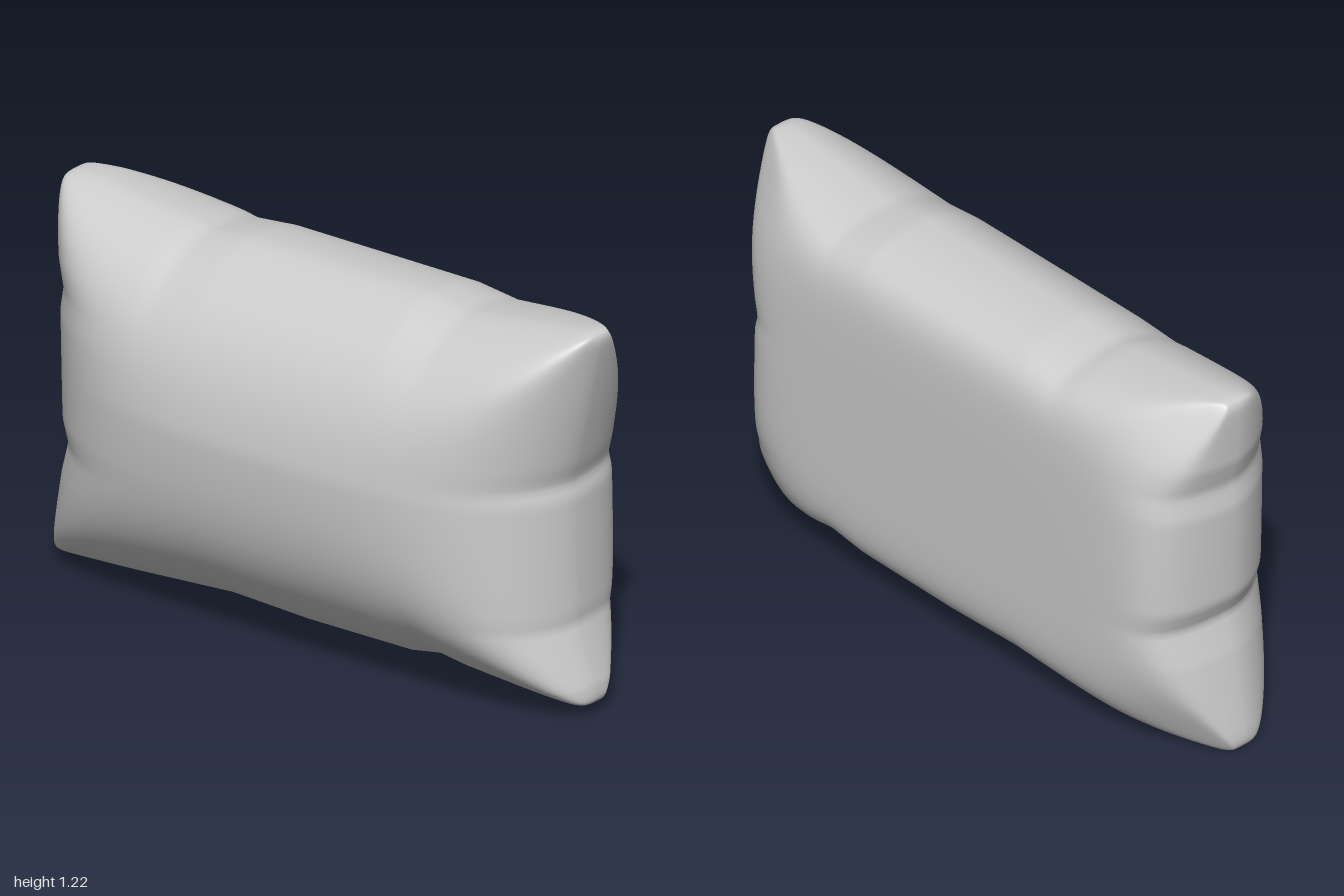
import * as THREE from 'three';
import { mergeVertices, mergeGeometries } from 'three/addons/utils/BufferGeometryUtils.js';

// Seam outline as [position along edge, offset]; the kinks are the gathered tucks
const topEdge = [[-1, 1.222], [-0.9, 1.216], [-0.55, 1.175], [-0.48, 1.16], [-0.32, 1.18], [0.4, 1.187], [0.55, 1.166], [0.66, 1.18], [1, 1.228]];
const bottomEdge = [[-1, -0.006], [-0.7, 0.015], [-0.3, 0.05], [0, 0.04], [0.4, 0.048], [0.54, 0.076], [0.64, 0.056], [1, 0.026]];
const frontEdge = [[0, 0.99], [0.06, 0.98], [0.25, 0.918], [0.3, 0.92], [0.68, 0.91], [0.73, 0.895], [0.8, 0.915], [1.22, 1.008]];
const backEdge = [[0, -1.008], [0.05, -1], [0.3, -0.95], [0.42, -0.915], [0.5, -0.945], [0.85, -0.955], [0.93, -0.94], [1.02, -0.965], [1.22, -0.98]];

function sample(table, t) {
  for (let i = 1; i < table.length; i++) {
    const [a, va] = table[i - 1], [b, vb] = table[i];
    if (t <= b) return THREE.MathUtils.lerp(va, vb, THREE.MathUtils.clamp((t - a) / (b - a), 0, 1));
  }
  return table[table.length - 1][1];
}

const dome = (t, p, q) => Math.pow(Math.max(0, 1 - Math.pow(Math.abs(t), p)), q);

// Smooth minimum of positive values, scaled so that two ones give one
const softMin = (...values) => Math.pow(values.reduce((sum, x) => sum + x ** -6, 0) / 2, -1 / 6);

// Even spread inside; the edge's own shape takes over toward the rim
const spread = (t, half, low, high) => half * t + (t > 0 ? high - half : low + half) * Math.abs(t) ** 3;

// One cloth panel; side +1 is the flatter one, side -1 the plumper one
function panel(side, { depth, powZ, powUp, powDown, blunt, peak }) {
  const geo = new THREE.PlaneGeometry(2, 2, 130, 100);
  const pos = geo.attributes.position;
  for (let i = 0; i < pos.count; i++) {
    // rows crowd toward the seam so the rim stays round
    const u = Math.sin(-side * pos.getX(i) * Math.PI / 2);
    const v = Math.sin(pos.getY(i) * Math.PI / 2);
    // rounded corner tips
    const ru = u * (1 - 0.012 * Math.abs(v) ** 50);
    const rv = v * (1 - 0.02 * Math.abs(u) ** 70);
    const along = 0.61 + 0.61 * v;
    const z = spread(ru, 0.93, sample(backEdge, along), sample(frontEdge, along));
    const y = 0.61 + spread(rv, 0.57, sample(bottomEdge, u) - 0.61, sample(topEdge, u) - 0.61);
    // thickness: domed both ways, tapering as wedges to the corners
    const corner = (0.05 + 0.95 * (1 - Math.abs(u)) + 0.6 * (1 - Math.abs(v))) / 0.48;
    const w = v - peak * (1 - v * v);
    const h = depth * softMin(dome(u, powZ, blunt), dome(w, w > 0 ? powUp : powDown, blunt), corner);
    pos.setXYZ(i, 0.05 + side * h, y, z);
  }
  geo.deleteAttribute('normal');
  geo.deleteAttribute('uv');
  return geo;
}

export function createModel() {
  const group = new THREE.Group();
  group.name = 'pillow';
  const flat = panel(1, { depth: 0.295, powZ: 11, powUp: 6.5, powDown: 6.5, blunt: 0.5, peak: 0 });
  const plump = panel(-1, { depth: 0.398, powZ: 2.6, powUp: 1.25, powDown: 1.9, blunt: 0.55, peak: 0.13 });
  // weld the panels along the seam for a smooth rim
  const geo = mergeVertices(mergeGeometries([flat, plump]), 1e-4);
  geo.computeVertexNormals();
  const cushion = new THREE.Mesh(geo, new THREE.MeshStandardMaterial({ color: 0xcccccc, roughness: 0.9 }));
  cushion.name = 'cushion';
  group.add(cushion);
  return group;
}
